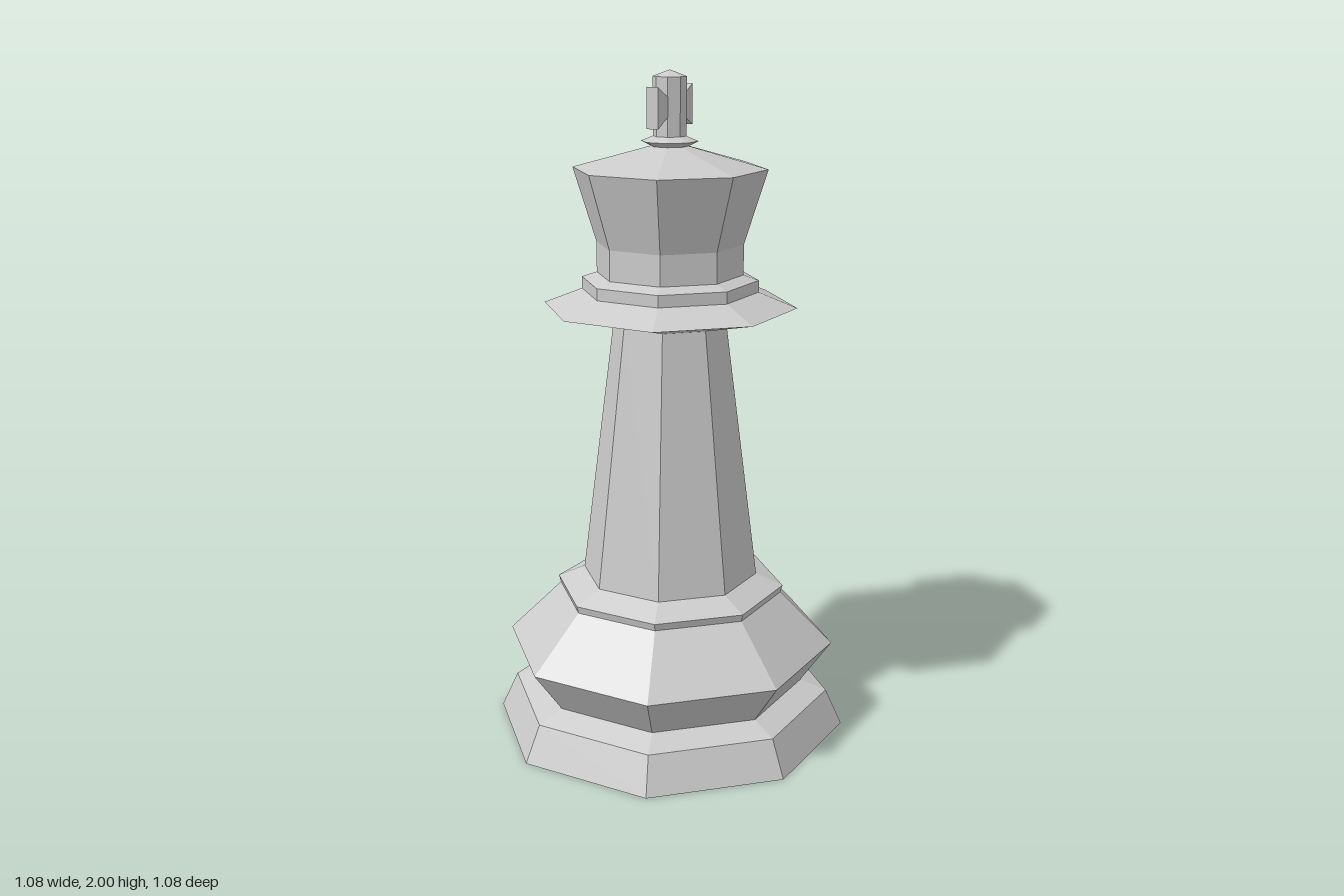
import * as THREE from 'three';

const SIDES = 8;
const material = new THREE.MeshStandardMaterial({ color: 0xcccccc, flatShading: true });

function addMesh(group, name, geometry) {
  const flat = geometry.index ? geometry.toNonIndexed() : geometry;
  flat.computeVertexNormals();
  const mesh = new THREE.Mesh(flat, material);
  mesh.name = name;
  group.add(mesh);
  return mesh;
}

// Eight-sided turned part from [radius, height] pairs, bottom to top
function turned(group, name, profile) {
  const points = profile.map(([r, y]) => new THREE.Vector2(r, y));
  return addMesh(group, name, new THREE.LatheGeometry(points, SIDES));
}

export function createModel() {
  const piece = new THREE.Group();
  piece.name = 'chessKing';

  // Stepped foot and bulging base
  turned(piece, 'foot', [[0, 0], [0.54, 0], [0.49, 0.11], [0.41, 0.14]]);
  turned(piece, 'base', [[0.41, 0.14], [0.503, 0.27], [0.343, 0.43]]);
  turned(piece, 'baseRing', [[0.343, 0.43], [0.349, 0.452], [0.267, 0.488]]);

  // Tapered shaft
  turned(piece, 'shaft', [[0.267, 0.488], [0.168, 1.27]]);

  // Wide collar with a smaller step above
  turned(piece, 'collar', [[0.168, 1.27], [0.376, 1.32], [0.262, 1.365]]);
  turned(piece, 'collarStep', [[0.262, 1.365], [0.262, 1.4], [0.217, 1.415]]);

  // Flared head with a shallow domed top
  turned(piece, 'head', [[0.217, 1.415], [0.217, 1.505], [0.285, 1.722], [0.05, 1.787]]);

  // Finial ring and post
  turned(piece, 'finialRing', [[0.05, 1.783], [0.084, 1.8], [0.048, 1.814]]);
  turned(piece, 'finialPost', [[0.048, 1.814], [0.049, 1.982], [0, 2]]);

  // Flared cross arms, square to two opposite faces of the post
  const cross = new THREE.Group();
  cross.name = 'crossArms';
  const depth = 0.038;
  const outline = [[0.03, 1.878], [0.099, 1.84], [0.099, 1.957], [0.03, 1.918]];
  const shape = new THREE.Shape(outline.map(([x, y]) => new THREE.Vector2(x, y)));
  for (const [name, turn] of [['leftArm', 0], ['rightArm', Math.PI]]) {
    const arm = new THREE.ExtrudeGeometry(shape, { depth, bevelEnabled: false });
    arm.translate(0, 0, -depth / 2);
    addMesh(cross, name, arm).rotation.y = turn;
  }
  cross.rotation.y = Math.PI / SIDES;
  piece.add(cross);

  return piece;
}
